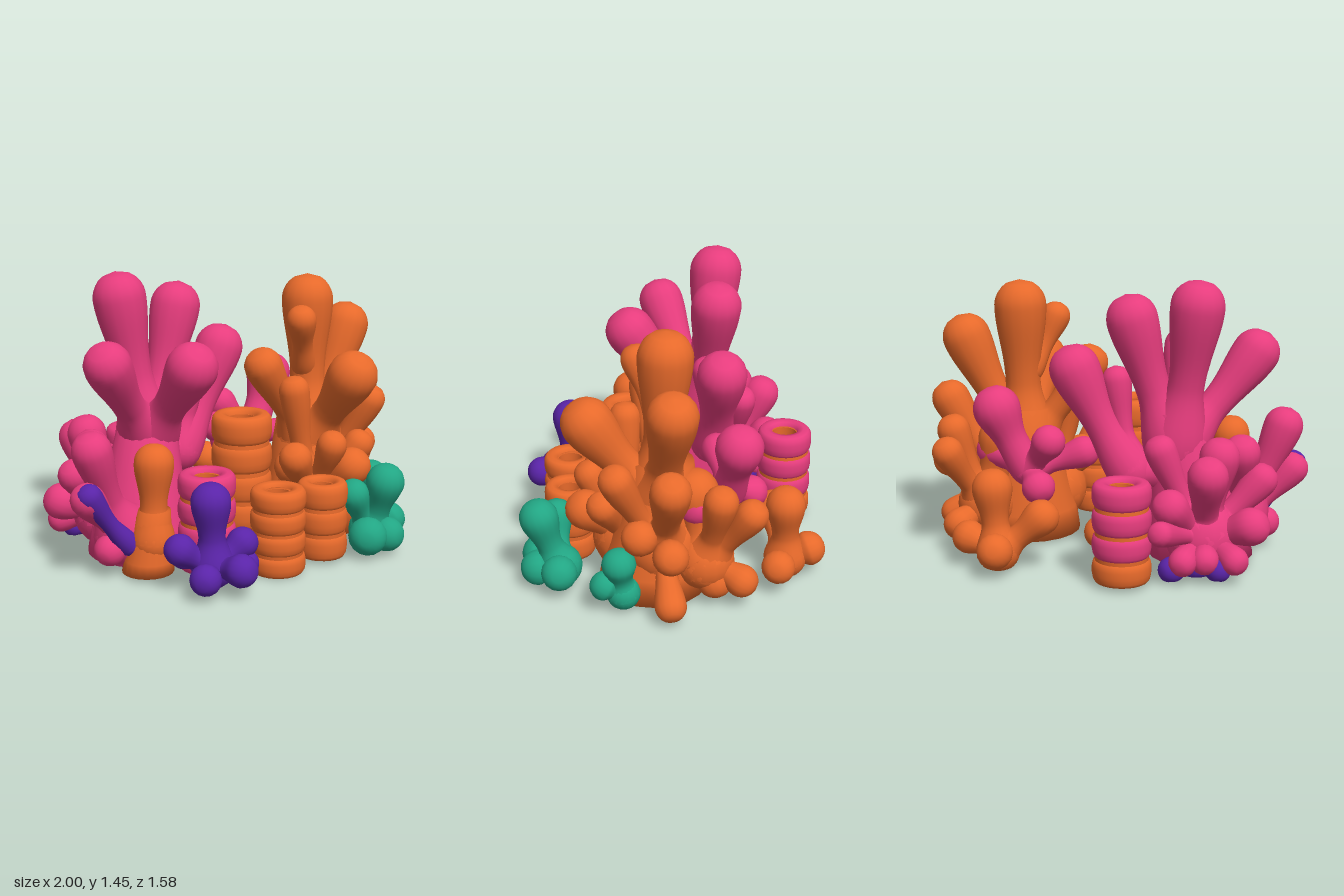
import * as THREE from 'three';
import { mergeVertices } from 'three/addons/utils/BufferGeometryUtils.js';

const FLOOR = 0.02;
const mat = (name, color) => {
  const m = new THREE.MeshStandardMaterial({ color });
  m.name = name;
  return m;
};

// Keeps the underside of every part flat on the sea bed.
function flatten(geo) {
  const p = geo.attributes.position;
  for (let i = 0; i < p.count; i++) p.setY(i, Math.max(FLOOR, p.getY(i)));
  geo.deleteAttribute('normal');
  geo.deleteAttribute('uv');
  const merged = mergeVertices(geo, 1e-4);
  merged.computeVertexNormals();
  return merged;
}

// A finger: wide foot, slim neck and a round bulb centred on the tip.
function fingerGeometry(root, tip) {
  const [x0, y0, z0, r0] = root;
  const [x1, y1, z1, r] = tip;
  const a = new THREE.Vector3(x0, y0, z0);
  const c = new THREE.Vector3(x1, y1, z1);
  const mid = new THREE.Vector3(x0 + (x1 - x0) * 0.58, y0 + (y1 - y0) * 0.45, z0 + (z1 - z0) * 0.58);
  const end = c.clone().add(c.clone().sub(mid).setLength(r));
  const curve = new THREE.QuadraticBezierCurve3(a, mid, end);
  const rings = 42, sides = 16;
  const geo = new THREE.TubeGeometry(curve, rings, 1, sides);
  const length = curve.getLength(), neck = r * 0.68;
  const ease = (t) => t * t * (3 - 2 * t);
  const p = geo.attributes.position, v = new THREE.Vector3();
  for (let i = 0; i <= rings; i++) {
    const centre = curve.getPointAt(i / rings);
    const s = (i / rings) * length, bulb = Math.max(length - r, 0.001);
    const t = s / bulb;
    let radius;
    if (t >= 1) radius = Math.sqrt(Math.max(0, r * r - (s - bulb) ** 2));
    else if (t < 0.45) radius = r0 + (neck - r0) * ease(t / 0.45);
    else radius = neck + (r - neck) * ease((t - 0.45) / 0.55) ** 1.15;
    for (let j = 0; j <= sides; j++) {
      const k = i * (sides + 1) + j;
      v.fromBufferAttribute(p, k).sub(centre).multiplyScalar(radius).add(centre);
      p.setXYZ(k, v.x, v.y, v.z);
    }
  }
  return flatten(geo);
}

// A clump: one rounded root with fingers growing out of it.
function clump(name, material, root, tips) {
  const g = new THREE.Group();
  g.name = name;
  const [x, y, z, r] = root;
  const ball = new THREE.SphereGeometry(r, 18, 12).translate(x, y, z);
  const foot = new THREE.Mesh(flatten(ball), material);
  foot.name = 'root';
  g.add(foot);
  for (const tip of tips) {
    const m = new THREE.Mesh(fingerGeometry(root, tip), material);
    m.name = 'finger';
    g.add(m);
  }
  return g;
}

// A tapering trunk with a flat bottom.
function trunk(name, material, from, to) {
  const profile = [[0, 0], [from[3], 0], [from[3] * 0.95, 0.2], [(from[3] + to[3]) * 0.48, 0.55], [to[3], 1], [0, 1]];
  const geo = new THREE.LatheGeometry(profile.map(([r, t]) => new THREE.Vector2(r, t)), 20);
  const p = geo.attributes.position;
  for (let i = 0; i < p.count; i++) {
    const t = p.getY(i);
    p.setXYZ(i,
      p.getX(i) + from[0] + (to[0] - from[0]) * t,
      from[1] + (to[1] - from[1]) * t,
      p.getZ(i) + from[2] + (to[2] - from[2]) * t);
  }
  const m = new THREE.Mesh(flatten(geo), material);
  m.name = name;
  return m;
}

// A hollow tube sponge: a core with bulging rings stacked around it.
function tubeSponge(name, x, z, R, bottom, top, count, core, ringColour) {
  const g = new THREE.Group();
  g.name = name;
  g.position.set(x, bottom, z);
  const hole = R * 0.46, h = (top - bottom) / count;
  const lathe = (pts, material, part) => {
    const m = new THREE.Mesh(new THREE.LatheGeometry(pts.map(([a, b]) => new THREE.Vector2(a, b)), 24), material);
    m.name = part;
    g.add(m);
  };
  const H = top - bottom - 0.03;
  lathe([[hole, H], [hole, 0.01], [R * 0.91, 0.01], [R * 0.91, H], [hole, H]], core, 'core');
  for (let i = 0; i < count; i++) {
    const y = i * h;
    const pts = [[R * 0.7, 0.04], [R * 0.9, 0.05], [R * 0.97, 0.18], [R, 0.4], [R, 0.65],
      [R * 0.97, 0.84], [R * 0.88, 0.96], [R * 0.7, 1], [hole * 1.15, 0.97], [hole * 1.02, 0.8]];
    lathe(pts.map(([a, b]) => [a, y + b * h]), ringColour(i), 'ring');
  }
  return g;
}

export function createModel() {
  const model = new THREE.Group();
  model.name = 'coralReef';
  const pink = mat('pink', 0xe83d7e);
  const orange = mat('orange', 0xe86a2b);
  const teal = mat('teal', 0x22a684);
  const violet = mat('violet', 0x5a24a8);

  // Tall pink coral
  model.add(
    trunk('pinkTrunk', pink, [-0.48, FLOOR, -0.1, 0.27], [-0.36, 0.78, -0.19, 0.13]),
    clump('pinkTallFingers', pink, [-0.36, 0.6, -0.19, 0.16], [
      [-0.48, 1.315, -0.26, 0.136], [-0.15, 1.24, -0.25, 0.13],
      [-0.73, 1.05, 0.03, 0.12], [-0.35, 1.02, 0.2, 0.13]]),
    clump('pinkRightFingers', pink, [-0.14, 0.47, -0.24, 0.12], [
      [-0.06, 0.92, -0.2, 0.075], [0.14, 0.98, -0.27, 0.128], [-0.36, 0.45, -0.2, 0.12]]),
    clump('pinkFarRightFingers', pink, [0.38, 0.46, -0.3, 0.09], [
      [0.53, 0.77, -0.34, 0.12], [0.24, 0.63, -0.4, 0.085],
      [0.29, 0.4, -0.42, 0.085], [0.62, 0.5, -0.13, 0.09], [0.1, 0.55, -0.25, 0.08]]),
    clump('pinkLeftFingers', pink, [-0.65, 0.18, 0.03, 0.16], [
      [-0.87, 0.66, 0.1, 0.1], [-0.915, 0.43, 0.125, 0.085],
      [-0.78, 0.14, 0.1, 0.08], [-0.7, 0.58, -0.2, 0.095]]),
    clump('pinkBackFingers', pink, [-0.53, 0.18, -0.32, 0.19], [
      [-0.8, 0.45, -0.2, 0.085], [-0.78, 0.26, -0.38, 0.095], [-0.62, 0.6, -0.38, 0.1],
      [-0.59, 0.54, -0.53, 0.1], [-0.41, 0.38, -0.55, 0.09], [-0.4, 0.3, -0.72, 0.062],
      [-0.72, 0.12, -0.5, 0.07], [-0.58, 0.12, -0.53, 0.07], [-0.48, 0.12, -0.58, 0.07],
      [-0.33, 0.62, -0.4, 0.08]]),
    clump('violetStreak', violet, [-0.7, 0.17, 0.15, 0.06], [[-0.92, 0.455, 0.153, 0.064]]),
  );

  // Large orange coral
  model.add(
    trunk('orangeTrunk', orange, [0.5, FLOOR, 0.08, 0.28], [0.51, 0.7, 0.03, 0.15]),
    clump('orangeTallFingers', orange, [0.5, 0.5, 0.05, 0.18], [
      [0.51, 1.245, 0.02, 0.136], [0.8, 1.07, -0.01, 0.125],
      [0.51, 0.9, 0.4, 0.13], [0.16, 0.94, 0.1, 0.1]]),
    clump('orangeSideTwig', orange, [0.47, 0.9, 0.05, 0.07], [[0.36, 1.17, 0.16, 0.078]]),
    clump('orangeRightFingers', orange, [0.59, 0.28, 0.04, 0.19], [
      [0.9, 0.73, 0, 0.1], [0.75, 0.71, 0.26, 0.085], [0.915, 0.39, 0, 0.088],
      [0.89, 0.1, 0, 0.078], [0.75, 0.4, 0.15, 0.09]]),
    clump('orangeBackRightFingers', orange, [0.65, 0.22, -0.17, 0.15], [
      [0.8, 0.62, -0.24, 0.085], [0.78, 0.54, -0.39, 0.08],
      [0.74, 0.15, -0.35, 0.082], [0.7, 0.13, -0.22, 0.09], [0.58, 0.56, -0.12, 0.12]]),
    clump('orangeFrontFingers', orange, [0.4, 0.22, 0.2, 0.19], [
      [0.27, 0.82, 0.22, 0.08], [0.38, 0.55, 0.4, 0.078], [0.18, 0.5, 0.35, 0.085],
      [0.24, 0.42, 0.24, 0.09], [0.62, 0.5, 0.33, 0.08], [0.5, 0.42, 0.42, 0.1]]),
    clump('orangeBackClump', orange, [0.45, 0.11, -0.59, 0.11], [
      [0.48, 0.425, -0.58, 0.1], [0.43, 0.14, -0.705, 0.09],
      [0.24, 0.28, -0.54, 0.09], [0.62, 0.15, -0.54, 0.085]]),
    trunk('orangeLeftBase', orange, [-0.61, FLOOR, 0.18, 0.13], [-0.58, 0.34, 0.2, 0.08]),
    clump('orangeLeftFinger', orange, [-0.59, 0.18, 0.2, 0.11], [[-0.58, 0.575, 0.2, 0.1]]),
    clump('orangeLowFingers', orange, [-0.02, 0.13, -0.14, 0.1], [
      [-0.13, 0.16, -0.37, 0.095], [-0.02, 0.17, -0.37, 0.085]]),
  );

  // Teal clumps
  model.add(
    clump('tealFrontClump', teal, [0.52, 0.11, 0.55, 0.11], [
      [0.53, 0.39, 0.65, 0.098], [0.385, 0.33, 0.57, 0.08], [0.42, 0.12, 0.65, 0.1],
      [0.54, 0.11, 0.66, 0.09], [0.645, 0.14, 0.55, 0.09]]),
    clump('tealSideClump', teal, [0.76, 0.1, 0.23, 0.085], [
      [0.79, 0.275, 0.25, 0.085], [0.78, 0.15, 0.32, 0.075]]),
  );

  // Violet clumps
  model.add(
    clump('violetFrontClump', violet, [-0.46, 0.12, 0.53, 0.11], [
      [-0.48, 0.45, 0.54, 0.098], [-0.62, 0.22, 0.48, 0.078], [-0.58, 0.11, 0.64, 0.078],
      [-0.42, 0.14, 0.705, 0.082], [-0.3, 0.21, 0.55, 0.078], [-0.53, 0.15, 0.38, 0.075],
      [-0.3, 0.11, 0.57, 0.07]]),
    clump('violetBackClump', violet, [-0.52, 0.07, -0.44, 0.09], [
      [-0.64, 0.07, -0.5, 0.065], [-0.42, 0.07, -0.56, 0.065]]),
  );

  // Tube sponges
  const allOrange = () => orange;
  model.add(
    tubeSponge('tallTube', -0.05, 0.2, 0.155, 0.01, 0.75, 5, orange, allOrange),
    tubeSponge('frontTube', -0.06, 0.52, 0.14, 0, 0.44, 4, orange, allOrange),
    tubeSponge('rightTube', 0.23, 0.51, 0.13, 0.02, 0.42, 3, orange, allOrange),
    tubeSponge('leftPinkTube', -0.35, 0.32, 0.145, 0.02, 0.52, 4, orange, () => pink),
    tubeSponge('backPinkTube', -0.19, -0.63, 0.145, 0.02, 0.52, 4, orange, (i) => (i ? pink : orange)),
  );
  return model;
}
